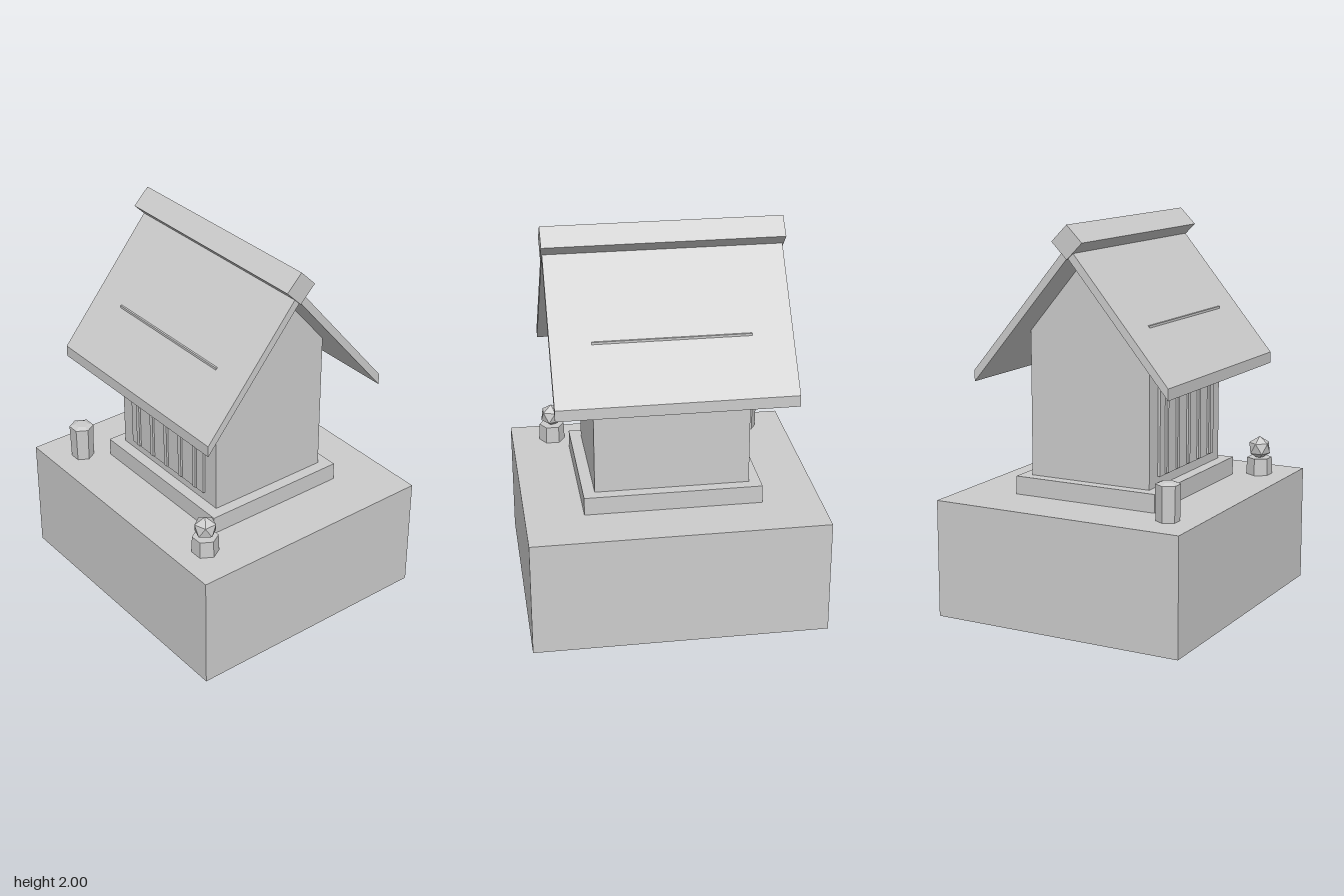
import * as THREE from 'three';

export function createModel() {
  const model = new THREE.Group();
  model.name = 'shrine';
  const stone = new THREE.MeshStandardMaterial({ color: 0xcccccc, flatShading: true });
  stone.name = 'pale grey';

  function add(name, geometry, x, y, z, parent = model) {
    const mesh = new THREE.Mesh(geometry, stone);
    mesh.name = name;
    mesh.position.set(x, y, z);
    parent.add(mesh);
    return mesh;
  }

  // Box given by its size and the height of its underside
  const block = (name, w, h, d, x, y, z, parent) =>
    add(name, new THREE.BoxGeometry(w, h, d), x, y + h / 2, z, parent);

  // Prism along x from a [z, y] outline
  function prism(name, outline, length) {
    const shape = new THREE.Shape(outline.map(([z, y]) => new THREE.Vector2(-z, y)));
    const geometry = new THREE.ExtrudeGeometry(shape, { depth: length, bevelEnabled: false });
    geometry.translate(0, 0, -length / 2).rotateY(Math.PI / 2);
    return add(name, geometry, 0, 0, 0);
  }

  // Upright hexagonal post with a flat side to the front
  const hexPost = (name, top, bottom, h, x, y, z, parent) =>
    add(name, new THREE.CylinderGeometry(top, bottom, h, 6, 1, false, Math.PI / 6), x, y + h / 2, z, parent);

  // Base, step and walls
  block('base', 1.51, 0.606, 1.354, 0, 0, 0);
  block('step', 0.91, 0.094, 0.79, 0, 0.606, 0);
  block('walls', 0.79, 0.814, 0.67, 0, 0.7, 0);
  prism('gable', [[0.335, 1.46], [0, 1.86], [-0.335, 1.46]], 0.79);

  // Roof slopes with upright eaves, and a square ridge beam on its edge
  for (const [name, s] of [['frontRoof', 1], ['backRoof', -1]]) {
    prism(name, [[0, 1.842], [0, 1.902], [s * 0.54, 1.258], [s * 0.54, 1.2]], 1.2);
  }
  const ridge = add('ridgeBeam', new THREE.BoxGeometry(1.214, 0.118, 0.118), 0, 1.917, 0);
  ridge.rotation.x = Math.PI / 4;

  // Lattice door
  const door = new THREE.Group();
  door.name = 'door';
  model.add(door);
  block('doorPanel', 0.61, 0.64, 0.02, 0, 0.75, 0.338, door);
  for (let i = -2; i <= 2; i++) {
    block('doorBar', 0.024, 0.625, 0.02, i * 0.12, 0.757, 0.348, door);
  }

  // Offering post on the right
  const post = new THREE.Group();
  post.name = 'offeringPost';
  model.add(post);
  hexPost('postShaft', 0.063, 0.059, 0.182, -0.543, 0.606, 0.513, post);
  hexPost('postCap', 0.035, 0.063, 0.01, -0.543, 0.788, 0.513, post);

  // Stone ball on a low pedestal on the left
  const lantern = new THREE.Group();
  lantern.name = 'stoneBall';
  model.add(lantern);
  hexPost('pedestal', 0.066, 0.069, 0.09, 0.538, 0.606, 0.513, lantern);
  const ball = new THREE.IcosahedronGeometry(0.062);
  ball.rotateZ(Math.atan(2 / (1 + Math.sqrt(5))));
  add('ball', ball, 0.538, 0.747, 0.513, lantern);

  return model;
}
